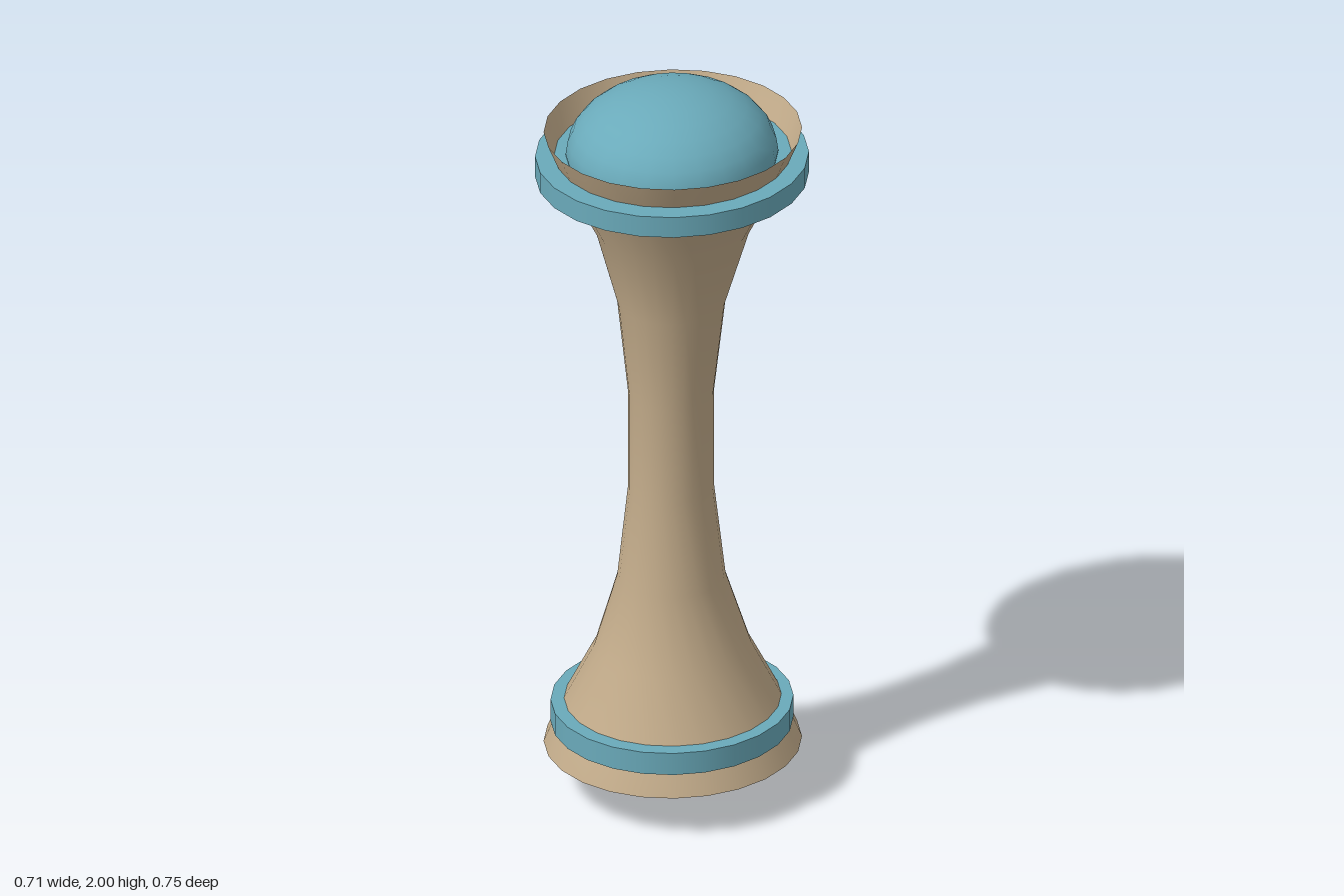
import * as THREE from 'three';

const SIDES = 24;
const DEPTH = 1.06; // every cross-section is slightly deeper than wide

export function createModel() {
  const group = new THREE.Group();
  const tan = new THREE.MeshStandardMaterial({ color: 0xc2ab8a, side: THREE.DoubleSide });
  const blue = new THREE.MeshStandardMaterial({ color: 0x6aaaba });

  const add = (name, geometry, material, y = 0) => {
    const mesh = new THREE.Mesh(geometry, material);
    mesh.name = name;
    mesh.position.y = y;
    group.add(mesh);
  };

  // Hollow flared handle: [height above the middle, radius, z offset], mirrored downwards
  const half = [
    [0.135, 0.111, 0.011], [0.395, 0.14, 0.007], [0.605, 0.203, -0.008],
    [0.77, 0.288, -0.008], [0.88, 0.334, -0.009],
  ];
  const rows = [...half.map(([h, r, z]) => [-h, r, z]).reverse(), ...half];
  const handle = new THREE.LatheGeometry(rows.map(([h, r]) => new THREE.Vector2(r, 1 + h)), SIDES);
  const p = handle.attributes.position;
  for (let i = 0; i < p.count; i++) {
    p.setZ(i, p.getZ(i) * DEPTH + rows[i % rows.length][2]);
  }
  handle.computeVertexNormals();
  // Average the normals across the lathe seam
  const n = handle.attributes.normal;
  const last = SIDES * rows.length;
  for (let j = 0; j < rows.length; j++) {
    const v = new THREE.Vector3().fromBufferAttribute(n, j)
      .add(new THREE.Vector3().fromBufferAttribute(n, last + j)).normalize();
    n.setXYZ(j, v.x, v.y, v.z);
    n.setXYZ(last + j, v.x, v.y, v.z);
  }
  add('handle', handle, tan);

  // Collar discs pass through the flares and close the cups
  const collar = (r, h) => new THREE.CylinderGeometry(r, r, h, SIDES).scale(1, 1, DEPTH);
  add('topCollar', collar(0.354, 0.058), blue, 1.785);
  add('bottomCollar', collar(0.314, 0.062), blue, 0.213);

  // Flattened domes resting in the cups
  const dome = (r, h) => new THREE.SphereGeometry(r, SIDES, 16).scale(1, h / r, DEPTH);
  add('topDome', dome(0.275, 0.18), blue, 1.82);
  add('bottomDome', dome(0.243, 0.185), blue, 0.185);

  return group;
}
